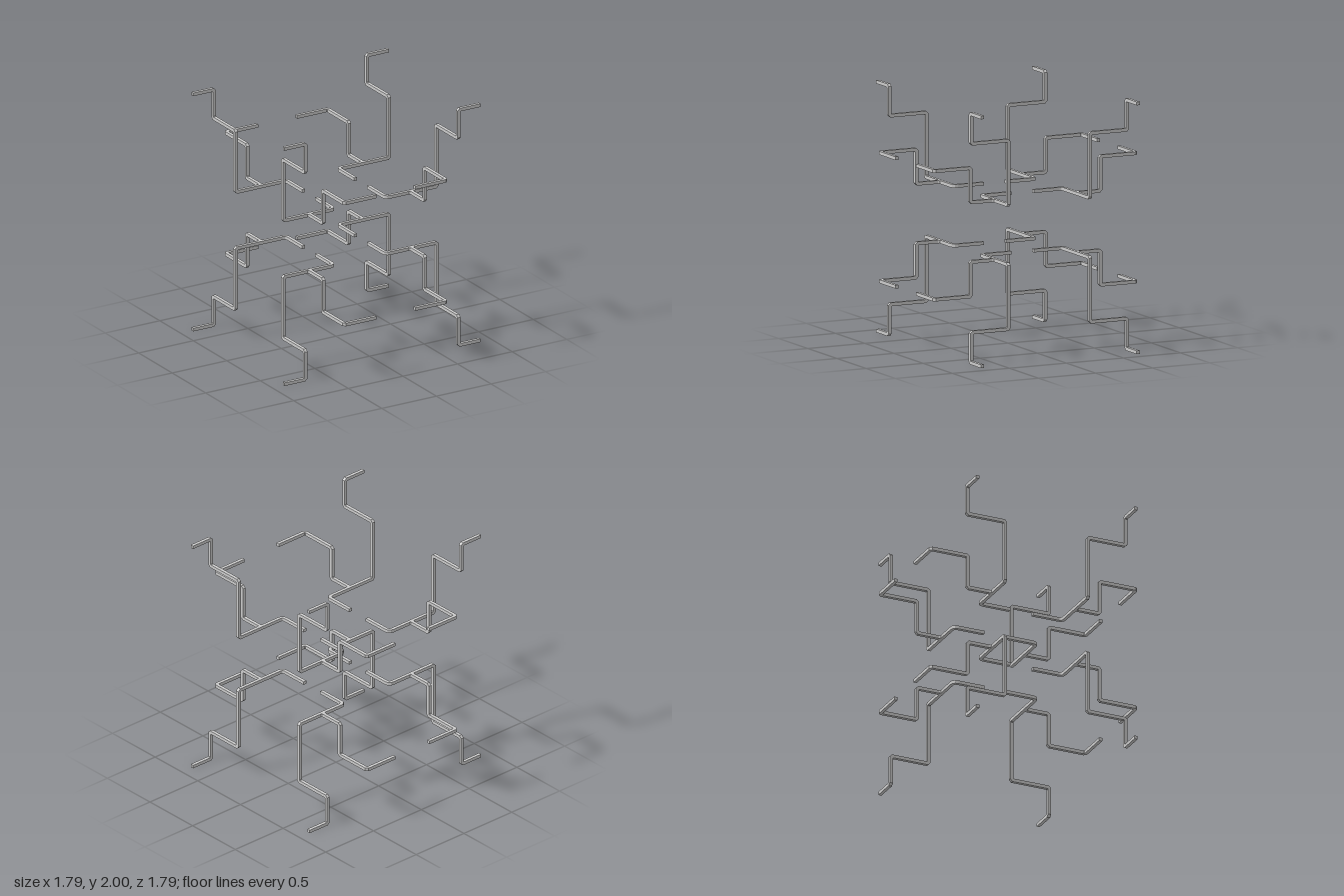
import * as THREE from 'three';

const SIDES = 4;
const HALF = 0.0135;
const RADIUS = HALF * Math.SQRT2;
const CENTRE_Y = 1;

// Replace every corner of a polyline by a short bevel or rounded bend.
function softenCorners(points, bends) {
  const out = [points[0]];
  for (let i = 1; i < points.length - 1; i++) {
    const p = points[i];
    const r = bends[i - 1];
    const a = p.clone().add(points[i - 1].clone().sub(p).setLength(r));
    const b = p.clone().add(points[i + 1].clone().sub(p).setLength(r));
    out.push(...new THREE.QuadraticBezierCurve3(a, p, b).getPoints(r > 0.02 ? 3 : 1));
  }
  out.push(points[points.length - 1]);
  return out;
}

// Sweep a square along a polyline with mitred joints and closed ends.
function barGeometry(path) {
  const dirs = path.slice(1).map((p, i) => p.clone().sub(path[i]).normalize());
  const up = new THREE.Vector3(0, 1, 0);
  const side = up.clone().cross(dirs[0]);
  let ring = [];
  for (let k = 0; k < SIDES; k++) {
    const a = ((k + 0.5) / SIDES) * Math.PI * 2;
    ring.push(path[0].clone()
      .addScaledVector(side, Math.cos(a) * RADIUS)
      .addScaledVector(up, Math.sin(a) * RADIUS));
  }
  const positions = [];
  const quad = (a, b, c, d) => {
    for (const p of [a, b, c, a, c, d]) positions.push(p.x, p.y, p.z);
  };

  quad(...ring.slice().reverse());
  dirs.forEach((d, i) => {
    // Slide the ring along the segment until it meets the mitre plane.
    const normal = d.clone().add(dirs[i + 1] || d).normalize();
    const next = ring.map((p) => {
      const t = path[i + 1].clone().sub(p).dot(normal) / d.dot(normal);
      return p.clone().addScaledVector(d, t);
    });
    for (let k = 0; k < SIDES; k++) {
      const m = (k + 1) % SIDES;
      quad(ring[k], ring[m], next[m], next[k]);
    }
    ring = next;
  });
  quad(...ring);

  const geometry = new THREE.BufferGeometry();
  geometry.setAttribute('position', new THREE.Float32BufferAttribute(positions, 3));
  geometry.computeVertexNormals();
  return geometry;
}

// Paths for one octant, relative to the centre of the model.
const MAIN = [
  [0.238, 0.236, 0.097], [0.238, 0.236, 0.357], [0.701, 0.236, 0.357],
  [0.701, 0.748, 0.357], [0.701, 0.748, 0.683], [0.701, 0.9865, 0.683],
  [0.897, 0.9865, 0.683],
];
const BRANCH = [
  [0.465, 0.236, 0.357], [0.465, 0.236, 0.568], [0.465, 0.509, 0.568],
  [0.465, 0.509, 0.884], [0.178, 0.509, 0.884],
];

export function createModel() {
  const model = new THREE.Group();
  model.name = 'branchingBars';
  const material = new THREE.MeshStandardMaterial({ color: 0xcccccc, flatShading: true });

  // Eight mirrored arms, one in each octant.
  for (const sx of [1, -1]) for (const sy of [1, -1]) for (const sz of [1, -1]) {
    const arm = new THREE.Group();
    arm.name = `${sy > 0 ? 'upper' : 'lower'}${sz > 0 ? 'Front' : 'Back'}${sx > 0 ? 'Left' : 'Right'}Arm`;
    const place = ([x, y, z]) => new THREE.Vector3(x * sx, CENTRE_Y + y * sy, z * sz);
    const addBar = (name, points, bends) => {
      const mesh = new THREE.Mesh(barGeometry(softenCorners(points.map(place), bends)), material);
      mesh.name = name;
      arm.add(mesh);
    };
    addBar('mainBar', MAIN, [0.035, 0.012, 0.012, 0.012, 0.012]);
    addBar('branchBar', BRANCH, [0.012, 0.012, 0.012]);

    // Small flare where the branch leaves the main bar.
    const flareGeometry = new THREE.CylinderGeometry(RADIUS, RADIUS * 1.8, 0.018, SIDES);
    flareGeometry.rotateY(Math.PI / SIDES).rotateX((sz * Math.PI) / 2).scale(1, 0.55, 1);
    const flare = new THREE.Mesh(flareGeometry, material);
    flare.name = 'branchFlare';
    flare.position.copy(place([0.465, 0.236, 0.375]));
    arm.add(flare);
    model.add(arm);
  }
  return model;
}
